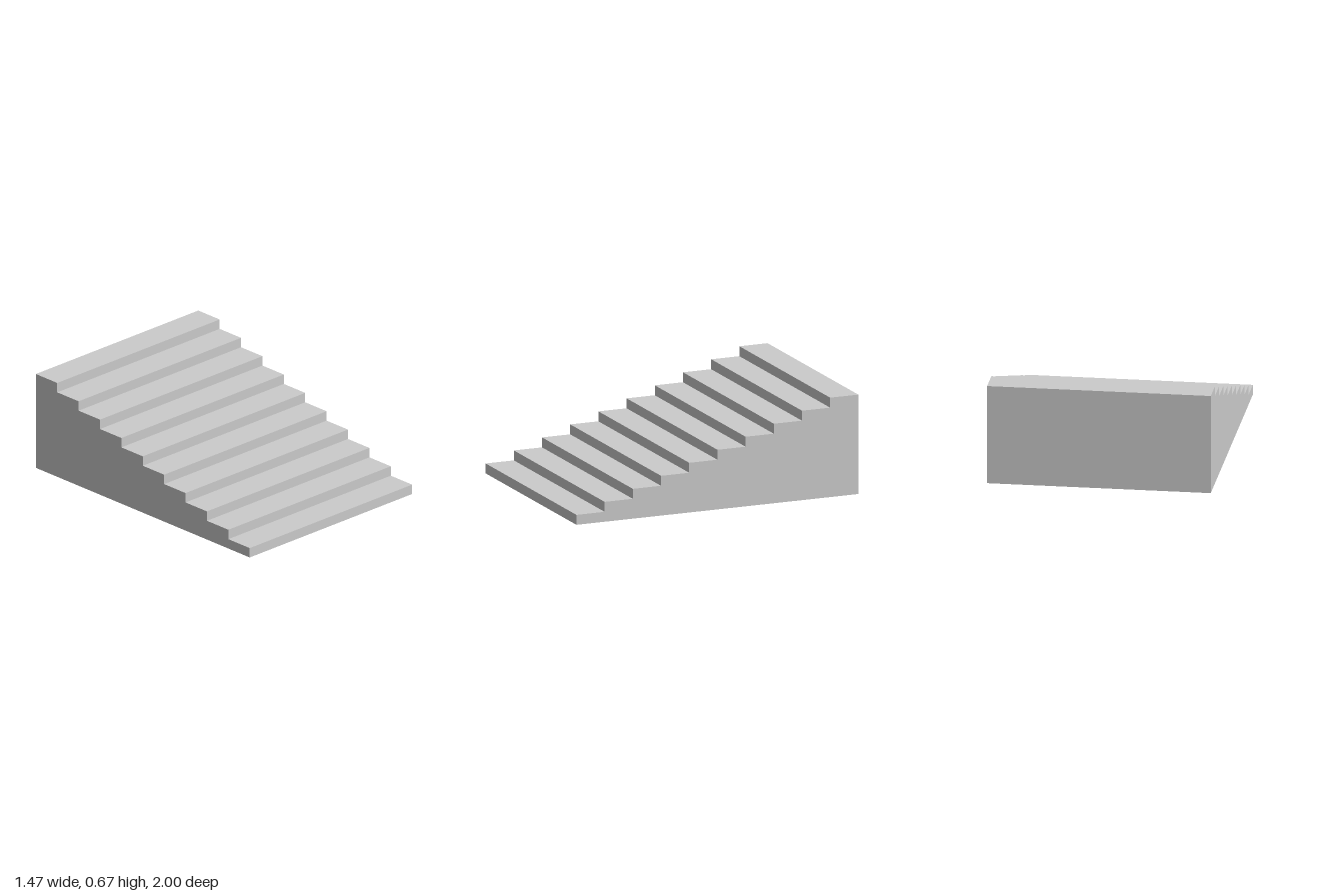
import * as THREE from 'three';

const STEPS = 10;
const WIDTH = 1.4667;
const HEIGHT = 0.6667;
const DEPTH = 2;

export function createModel() {
  const group = new THREE.Group();
  group.name = 'staircase';

  // Stepped side profile: shape x becomes z, starting at the back bottom corner
  const rise = HEIGHT / STEPS;
  const run = DEPTH / STEPS;
  const profile = new THREE.Shape();
  profile.moveTo(-DEPTH / 2, 0);
  profile.lineTo(DEPTH / 2, 0);
  for (let i = 0; i < STEPS; i++) {
    const y = (i + 1) * rise;
    profile.lineTo(DEPTH / 2 - i * run, y); // riser
    profile.lineTo(DEPTH / 2 - (i + 1) * run, y); // tread
  }
  profile.closePath();

  // Solid flight of steps, extruded across the width
  const geometry = new THREE.ExtrudeGeometry(profile, { depth: WIDTH, bevelEnabled: false });
  geometry.translate(0, 0, -WIDTH / 2);
  geometry.rotateY(-Math.PI / 2);

  const steps = new THREE.Mesh(
    geometry,
    new THREE.MeshStandardMaterial({ color: 0xcccccc, flatShading: true })
  );
  steps.name = 'steps';
  group.add(steps);
  return group;
}
